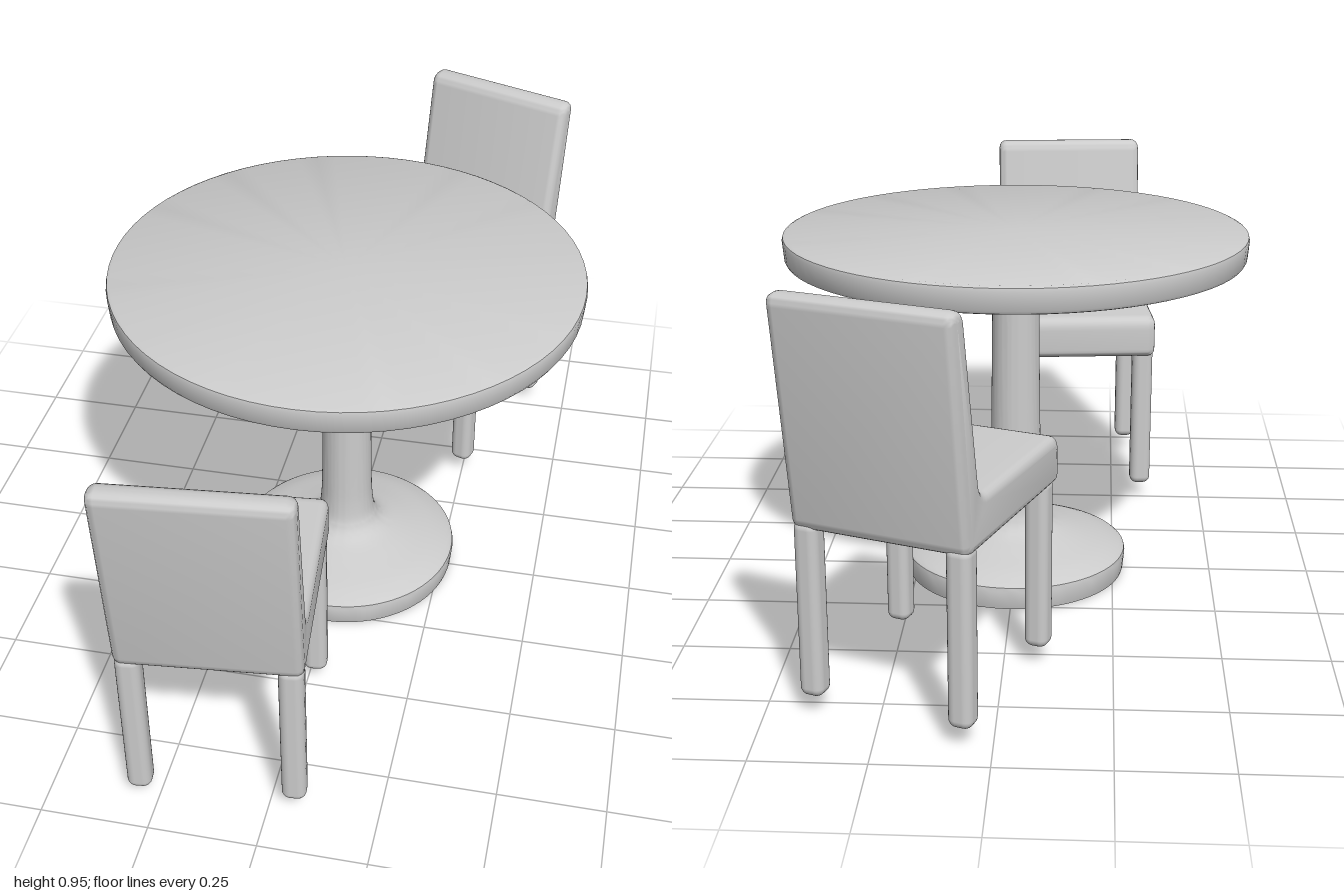
import * as THREE from 'three';
import { toCreasedNormals } from 'three/addons/utils/BufferGeometryUtils.js';
import { RoundedBoxGeometry } from 'three/addons/geometries/RoundedBoxGeometry.js';

const material = new THREE.MeshStandardMaterial({ color: 0xcccccc });

function addMesh(parent, name, geometry, x = 0, y = 0, z = 0) {
  const mesh = new THREE.Mesh(geometry, material);
  mesh.name = name;
  mesh.position.set(x, y, z);
  parent.add(mesh);
  return mesh;
}

// Closed polygon whose corners are rounded; each corner is [x, y, radius]
function roundedShape(corners) {
  const shape = new THREE.Shape();
  const n = corners.length;
  corners.forEach(([x, y, r], i) => {
    const corner = new THREE.Vector2(x, y);
    const toward = (j) => {
      const other = new THREE.Vector2(corners[j][0], corners[j][1]);
      return other.sub(corner).setLength(r).add(corner);
    };
    const a = toward((i + n - 1) % n);
    const b = toward((i + 1) % n);
    if (i === 0) shape.moveTo(a.x, a.y);
    else shape.lineTo(a.x, a.y);
    shape.quadraticCurveTo(x, y, b.x, b.y);
  });
  shape.closePath();
  return shape;
}

// Lathe from [radius, height] points
function lathe(points) {
  const profile = points.map(([r, y]) => new THREE.Vector2(r, y));
  return toCreasedNormals(new THREE.LatheGeometry(profile, 72), 0.6);
}

function createTable() {
  const table = new THREE.Group();
  table.name = 'table';

  // Round top with softened rim
  addMesh(table, 'tableTop', lathe([
    [0, 0.825], [0.55, 0.825], [0.558, 0.828], [0.562, 0.835],
    [0.566, 0.878], [0.564, 0.886], [0.556, 0.89], [0, 0.89],
  ]));

  // Flared column rising from the foot disc
  const flare = new THREE.SplineCurve([
    [0.272, 0.066], [0.23, 0.083], [0.16, 0.103], [0.105, 0.122],
    [0.078, 0.15], [0.067, 0.2], [0.063, 0.32], [0.058, 0.72],
    [0.06, 0.785], [0.067, 0.81], [0.085, 0.826],
  ].map(([r, y]) => new THREE.Vector2(r, y))).getPoints(50).map((p) => [p.x, p.y]);
  addMesh(table, 'pedestal', lathe([
    [0, 0], [0.268, 0], [0.275, 0.003], [0.277, 0.01],
    [0.281, 0.05], [0.279, 0.06], ...flare,
  ]));
  table.position.z = 0.005;
  return table;
}

// Chair with its backrest toward local +z
function createChair(name) {
  const chair = new THREE.Group();
  chair.name = name;

  // Seat and leaning back as one side profile, drawn as (z, y)
  const width = 0.41;
  const bevel = 0.02;
  const profile = roundedShape([
    [-0.24, 0.43, 0.022],
    [0.238, 0.43, 0.025],
    [0.305, 0.95, 0.028],
    [0.246, 0.95, 0.028],
    [0.175, 0.543, 0.035],
    [-0.24, 0.543, 0.035],
  ]);
  const body = new THREE.ExtrudeGeometry(profile, {
    depth: width - 2 * bevel,
    bevelEnabled: true,
    bevelThickness: bevel,
    bevelSize: bevel,
    bevelOffset: -bevel,
    bevelSegments: 4,
    curveSegments: 6,
  });
  body.translate(0, 0, bevel - width / 2);
  body.rotateY(-Math.PI / 2);
  addMesh(chair, 'seatAndBack', toCreasedNormals(body, 0.9));

  // Four soft-edged square legs
  const leg = new RoundedBoxGeometry(0.056, 0.405, 0.056, 4, 0.02);
  for (const side of [1, -1]) {
    const sideName = side > 0 ? 'Left' : 'Right';
    addMesh(chair, `frontLeg${sideName}`, leg, side * 0.175, 0.2475, -0.19);
    addMesh(chair, `backLeg${sideName}`, leg, side * 0.175, 0.2475, 0.212);
  }
  return chair;
}

export function createModel() {
  const model = new THREE.Group();
  model.name = 'diningSet';
  model.add(createTable());

  const frontChair = createChair('frontChair');
  frontChair.position.set(-0.136, 0, 0.679);
  frontChair.rotation.y = 0.098;

  const rearChair = createChair('rearChair');
  rearChair.position.set(0.152, 0, -0.651);
  rearChair.rotation.y = Math.PI - 0.358;

  model.add(frontChair, rearChair);
  return model;
}
